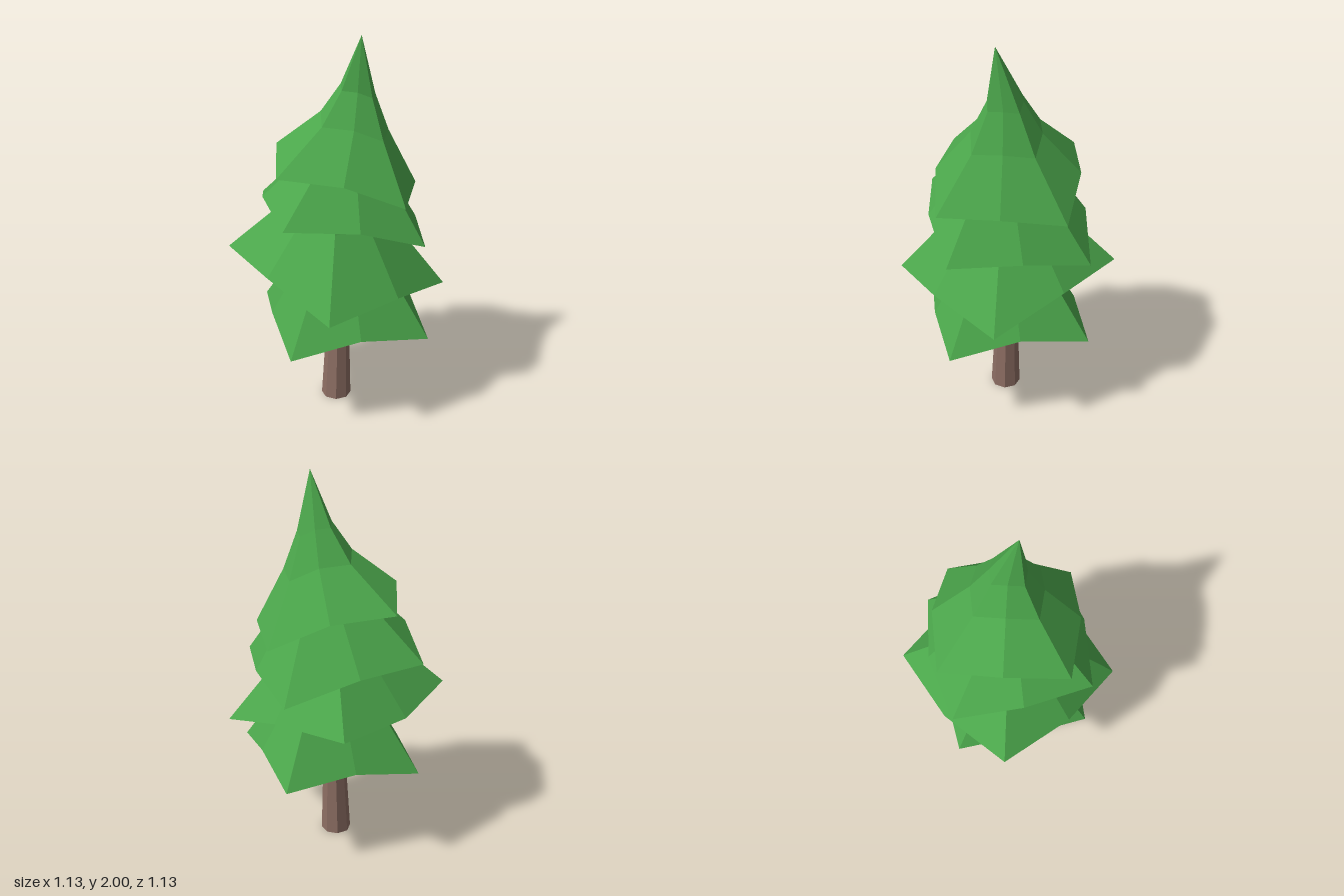
import * as THREE from 'three';

const needles = new THREE.MeshStandardMaterial({ color: 0x4ba64b, flatShading: true });
needles.name = 'needle green';
const bark = new THREE.MeshStandardMaterial({ color: 0x8d6e63, flatShading: true, side: THREE.DoubleSide });
bark.name = 'bark brown';

// Rim points run counter-clockwise seen from above: drooping corners alternate with raised middles.
// The axis lists the centres of the two narrowing rings, then the tip; waist is the lower ring's scale.
const tiers = [
  {
    name: 'bottomBranches', waist: 0.55, axis: [[0.035, 0.83, 0], [0.03, 1.02, 0], [0.03, 1.2, 0]],
    rim: [[0.475, 0.49, 0.25], [0.4, 0.57, -0.1], [0.295, 0.51, -0.445], [-0.06, 0.55, -0.37],
      [-0.4, 0.48, -0.28], [-0.34, 0.54, 0.07], [-0.22, 0.46, 0.43], [0.13, 0.54, 0.37]],
  },
  {
    name: 'lowerBranches', waist: 0.48, axis: [[0.01, 1.11, 0], [0.01, 1.29, 0], [0.01, 1.46, 0]],
    rim: [[0.565, 0.7, 0.02], [0.34, 0.83, -0.31], [0.025, 0.845, -0.57], [-0.31, 0.84, -0.34],
      [-0.565, 0.885, -0.025], [-0.335, 0.86, 0.31], [-0.025, 0.73, 0.565], [0.31, 0.77, 0.34]],
  },
  {
    name: 'upperBranches', waist: 0.5, axis: [[0.05, 1.355, -0.005], [0.05, 1.51, 0], [0.05, 1.7, 0]],
    rim: [[0.44, 1.01, 0.255], [0.415, 1.03, -0.11], [0.295, 0.97, -0.435], [-0.07, 1.09, -0.41],
      [-0.4, 1.1, -0.28], [-0.37, 1.2, 0.07], [-0.245, 1.15, 0.41], [0.12, 1.13, 0.38]],
  },
  {
    name: 'crown', waist: 0.48, axis: [[0.09, 1.56, -0.01], [0.105, 1.73, -0.005], [0.12, 2, 0.04]],
    rim: [[0.335, 1.23, 0.31], [0.4, 1.26, 0], [0.36, 1.22, -0.315], [0.07, 1.36, -0.375],
      [-0.25, 1.38, -0.34], [-0.3, 1.45, -0.03], [-0.28, 1.37, 0.29], [0.04, 1.35, 0.345]],
  },
];

// Underside: four corner flaps around a raised square between the middles
const underside = [[7, 1, 0], [1, 3, 2], [3, 5, 4], [5, 7, 6], [1, 5, 3], [1, 7, 5]];

// One skirt of branches: rim, two narrowing rings, a tip and a closed underside.
function createTier({ name, waist, axis, rim }) {
  const n = rim.length;
  const mean = [0, 1, 2].map((k) => rim.reduce((s, p) => s + p[k], 0) / n);
  const ring = (centre, scale) => rim.map((p) => p.map((v, k) => centre[k] + (v - mean[k]) * scale));
  const rings = [rim, ring(axis[0], waist), ring(axis[1], 0.24)];
  const positions = [];
  const tri = (...points) => points.forEach((p) => positions.push(...p));
  for (let i = 0; i < n; i++) {
    const j = (i + 1) % n;
    for (let r = 0; r < 2; r++) {
      const lower = rings[r], upper = rings[r + 1];
      tri(lower[i], lower[j], upper[j]);
      tri(lower[i], upper[j], upper[i]);
    }
    tri(rings[2][i], rings[2][j], axis[2]);
  }
  underside.forEach((corners) => tri(...corners.map((c) => rim[c])));
  const geometry = new THREE.BufferGeometry();
  geometry.setAttribute('position', new THREE.Float32BufferAttribute(positions, 3));
  geometry.computeVertexNormals();
  const mesh = new THREE.Mesh(geometry, needles);
  mesh.name = name;
  return mesh;
}

export function createModel() {
  const tree = new THREE.Group();
  tree.name = 'pineTree';

  // Tapered, hollow eight-sided trunk, leaning slightly
  const trunkGeometry = new THREE.CylinderGeometry(0.053, 0.08, 0.62, 8, 1, true);
  trunkGeometry.translate(0, 0.31, 0);
  trunkGeometry.applyMatrix4(new THREE.Matrix4().makeShear(0, 0, 0.02, -0.015, 0, 0));
  const trunk = new THREE.Mesh(trunkGeometry, bark);
  trunk.name = 'trunk';
  tree.add(trunk);

  tiers.forEach((tier) => tree.add(createTier(tier)));
  return tree;
}
